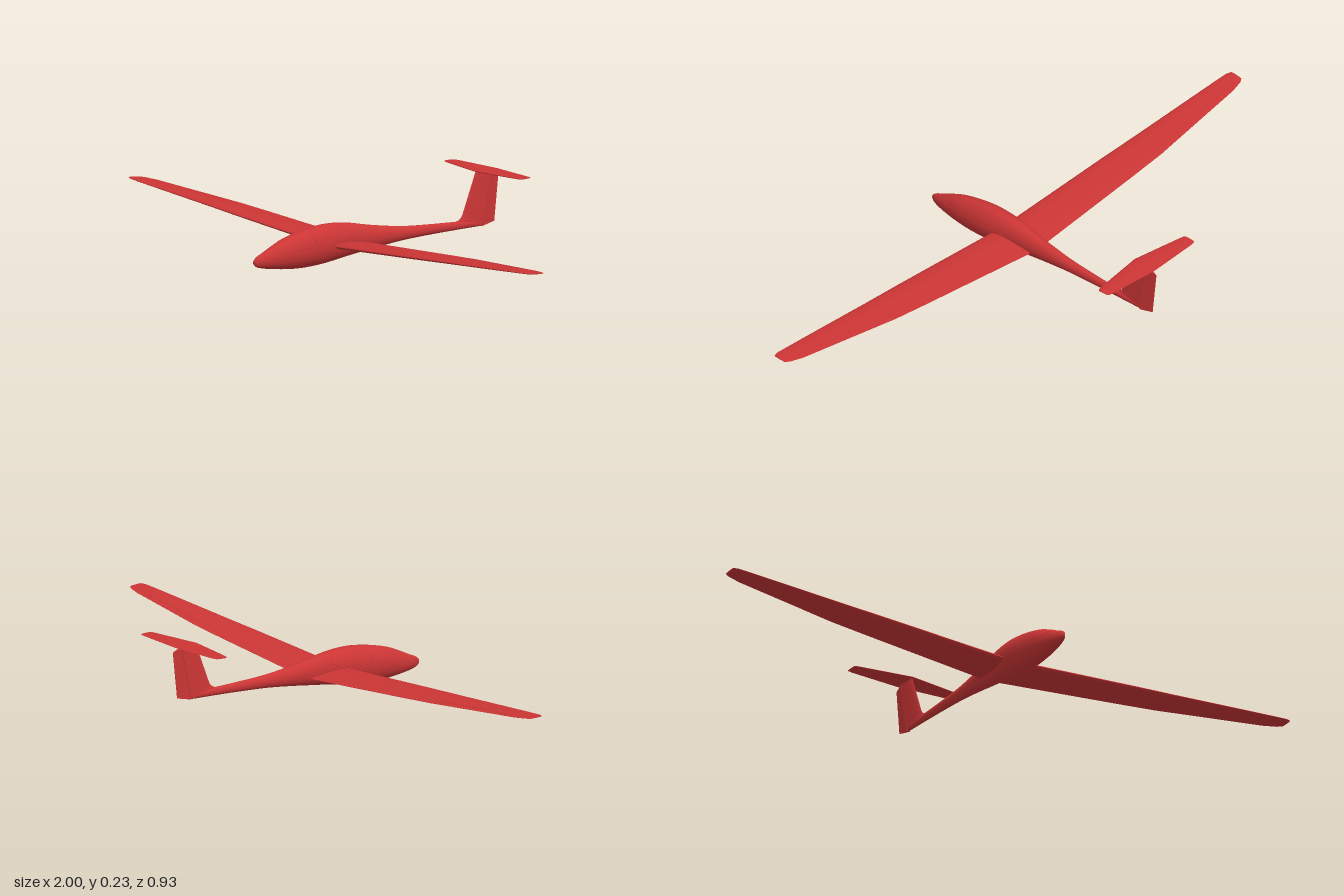
import * as THREE from 'three';
import { toCreasedNormals } from 'three/addons/utils/BufferGeometryUtils.js';

const red = new THREE.MeshStandardMaterial({ color: 0xcc3535 });
const V = (x, y, z) => new THREE.Vector3(x, y, z);
const lerp = THREE.MathUtils.lerp;

// Skin closed rings of points, cap both ends, and turn the faces outward.
function loft(name, rings, crease = 0.7) {
  const n = rings[0].length, pts = rings.flat(), idx = [];
  for (let r = 0; r < rings.length - 1; r++) {
    for (let i = 0; i < n; i++) {
      const a = r * n + i, b = r * n + (i + 1) % n;
      idx.push(a, b, a + n, b, b + n, a + n);
    }
  }
  [0, rings.length - 1].forEach((r, end) => {
    const c = pts.length;
    pts.push(rings[r].reduce((s, p) => s.add(p), V(0, 0, 0)).divideScalar(n));
    for (let i = 0; i < n; i++) {
      const a = r * n + i, b = r * n + (i + 1) % n;
      if (end) idx.push(c, a, b); else idx.push(c, b, a);
    }
  });
  let volume = 0;
  for (let i = 0; i < idx.length; i += 3) {
    const [a, b, c] = [pts[idx[i]], pts[idx[i + 1]], pts[idx[i + 2]]];
    volume += a.dot(V(0, 0, 0).crossVectors(b, c));
  }
  if (volume < 0) idx.reverse();
  let geo = new THREE.BufferGeometry().setFromPoints(pts);
  geo.setIndex(idx);
  // Crease at a larger scale so that nearby points stay distinct.
  geo.scale(100, 100, 100);
  geo = toCreasedNormals(geo, crease);
  geo.scale(0.01, 0.01, 0.01);
  const mesh = new THREE.Mesh(geo, red);
  mesh.name = name;
  return mesh;
}

// Thin raised seam through a list of points.
function seam(name, pts) {
  const path = new THREE.CurvePath();
  for (let i = 1; i < pts.length; i++) path.add(new THREE.LineCurve3(pts[i - 1], pts[i]));
  const mesh = new THREE.Mesh(new THREE.TubeGeometry(path, pts.length * 3, 0.0008, 5), red);
  mesh.name = name;
  return mesh;
}

// Fuselage stations: z, top, bottom, half width.
const body = [
  [0.465, 0.043, 0.030, 0.003], [0.455, 0.052, 0.022, 0.009], [0.43, 0.063, 0.015, 0.017],
  [0.40, 0.077, 0.010, 0.024], [0.35, 0.098, 0.004, 0.033], [0.30, 0.111, 0.001, 0.038],
  [0.25, 0.120, 0.002, 0.041], [0.20, 0.125, 0.006, 0.041], [0.15, 0.124, 0.013, 0.038],
  [0.10, 0.118, 0.020, 0.033], [0.05, 0.108, 0.026, 0.028], [0, 0.099, 0.032, 0.023],
  [-0.1, 0.085, 0.042, 0.016], [-0.2, 0.079, 0.047, 0.012], [-0.3, 0.075, 0.050, 0.009],
  [-0.397, 0.070, 0.052, 0.006],
];
// Smooth interpolation between stations.
function bodyAt(z) {
  const last = body.length - 1;
  let i = 0;
  while (i < last - 1 && z < body[i + 1][0]) i++;
  const h = body[i + 1][0] - body[i][0], t = (z - body[i][0]) / h;
  const slope = (k, c) => {
    const a = body[Math.max(k - 1, 0)], b = body[Math.min(k + 1, last)];
    return (b[c] - a[c]) / (b[0] - a[0]) * h;
  };
  return [1, 2, 3].map((c) => {
    const p = body[i][c], q = body[i + 1][c], d = q - p, m = slope(i, c), k = slope(i + 1, c);
    return p + t * (m + t * (3 * d - 2 * m - k + t * (m + k - 2 * d)));
  });
}
function bodyRing(z, n = 36) {
  const [top, bottom, w] = bodyAt(z);
  return Array.from({ length: n }, (_, i) => {
    const a = i / n * Math.PI * 2;
    return V(Math.sin(a) * w, (top + bottom) / 2 + Math.cos(a) * (top - bottom) / 2, z);
  });
}
// Point on the fuselage side at a height.
function onBody(z, y, side) {
  const [top, bottom, w] = bodyAt(z);
  const k = Math.min(1, Math.max(-1, (2 * y - top - bottom) / (top - bottom)));
  return V(side * w * Math.sqrt(1 - k * k), lerp(bottom, top, (k + 1) / 2), z);
}
// Seam over the fuselage, running down one side, along, and mirrored back.
function bodySeam(name, corners) {
  const half = (side) => {
    const out = [];
    for (let i = 1; i < corners.length; i++) {
      for (let j = 0; j < 8; j++) {
        const t = j / 8;
        out.push(onBody(lerp(corners[i - 1][0], corners[i][0], t), lerp(corners[i - 1][1], corners[i][1], t), side));
      }
    }
    const [z, y] = corners[corners.length - 1];
    out.push(onBody(z, y, side));
    return out;
  };
  const a = half(1), b = half(-1);
  return seam(name, [...a, ...b.reverse(), a[0]]);
}

// Profiles: [fraction of chord, half-thickness fraction], upper side then lower.
const foil = (f) => 5 * (0.2969 * Math.sqrt(f) - 0.126 * f - 0.3516 * f * f + 0.2843 * f ** 3 - 0.1016 * f ** 4);
const chordSteps = Array.from({ length: 13 }, (_, i) => (1 - Math.cos(i / 12 * Math.PI)) / 2);
const closed = (fn) => [
  ...chordSteps.slice().reverse().map((f) => [f, fn(f)]),
  ...chordSteps.slice(1).map((f) => [f, -fn(f)]),
];
const airfoil = closed((f) => foil(f) + 0.012 * f);
const finProfile = closed((f) => 0.5 * Math.sqrt(1 - (1 - f) ** 2));
const rudderProfile = [[0, 0.5], [1, 0.05], [1, -0.05], [0, -0.5]];

// Section from leading to trailing edge with thickness along a direction.
const section = (profile, le, te, thick, up) =>
  profile.map(([f, h]) => le.clone().lerp(te, f).addScaledVector(up, h * thick));
const UP = V(0, 1, 0), SIDE = V(1, 0, 0);

// Wing stations: x, leading z, trailing z, thickness.
const wing = [
  [0, 0.186, 0.035, 0.021], [0.45, 0.185, 0.058, 0.016], [0.58, 0.183, 0.066, 0.014],
  [0.80, 0.182, 0.093, 0.010], [0.94, 0.181, 0.110, 0.007], [0.985, 0.180, 0.122, 0.005],
  [1.0, 0.174, 0.132, 0.003],
];
const wingEdges = (x, le, te) => {
  const y = 0.057 + 0.06 * x;
  return [V(x, y, le), V(x, y - 0.006 * (1 - x * 0.6), te)];
};
function wingTop(x, f) {
  const i = wing.findIndex((s) => s[0] > x), a = wing[i - 1], b = wing[i];
  const [le, te, th] = [1, 2, 3].map((c) => lerp(a[c], b[c], (x - a[0]) / (b[0] - a[0])));
  const [p, q] = wingEdges(x, le, te);
  return p.lerp(q, f).addScaledVector(UP, (foil(f) + 0.012 * f) * th);
}
const mirror = (pts, s) => pts.map((p) => V(p.x * s, p.y, p.z));

export function createModel() {
  const model = new THREE.Group();
  model.name = 'glider';

  // Fuselage, with rings closer together at the nose
  const rings = Array.from({ length: 71 }, (_, i) => bodyRing(lerp(0.465, -0.397, (i / 70) ** 1.5)));
  model.add(loft('fuselage', rings));

  // Canopy and hatch outlines
  model.add(bodySeam('canopySeam', [[0.405, 0.2], [0.405, 0.070], [0.39, 0.057], [0.27, 0.067], [0.263, 0.075], [0.263, 0.2]]));
  model.add(bodySeam('hatchSeam', [[0.257, 0.2], [0.257, 0.085], [0.25, 0.068], [0.13, 0.078], [0.115, 0.09], [0.115, 0.2]]));

  // Wings with aileron seams
  for (const [s, label] of [[1, 'left'], [-1, 'right']]) {
    model.add(loft(label + 'Wing', wing.map(([x, le, te, th]) =>
      mirror(section(airfoil, ...wingEdges(x, le, te), th, UP), s))));
    const hinge = Array.from({ length: 9 }, (_, i) => wingTop(lerp(0.58, 0.92, i / 8), lerp(0.81, 0.76, i / 8)));
    model.add(seam(label + 'AileronSeam', mirror(hinge, s)));
  }

  // Fin, flaring forward into the fuselage: y, leading z, thickness
  const hingeZ = (y) => -0.397 - 0.218 * (y - 0.052);
  const fin = [
    [0.056, -0.29, 0.012], [0.074, -0.295, 0.012], [0.077, -0.309, 0.012], [0.083, -0.319, 0.012],
    [0.093, -0.326, 0.012], [0.222, -0.377, 0.010],
  ];
  model.add(loft('fin', fin.map(([y, le, th]) => section(finProfile, V(0, y, le), V(0, y, hingeZ(y)), th, SIDE))));

  // Rudder, with a narrow gap at the hinge
  model.add(loft('rudder', [
    section(rudderProfile, V(0, 0.052, hingeZ(0.052) - 0.001), V(0, 0.062, -0.447), 0.012, SIDE),
    section(rudderProfile, V(0, 0.217, hingeZ(0.217) - 0.001), V(0, 0.207, -0.463), 0.010, SIDE),
  ]));

  // Tailplane on top of the fin: x, leading z, trailing z, thickness
  const tail = [[0, -0.372, -0.457, 0.009], [0.17, -0.397, -0.446, 0.006], [0.185, -0.400, -0.443, 0.005], [0.19, -0.404, -0.440, 0.003]];
  const both = [...tail.slice(1).reverse().map(([x, ...r]) => [-x, ...r]), ...tail];
  model.add(loft('tailplane', both.map(([x, le, te, th]) =>
    section(airfoil, V(x, 0.222, le), V(x, 0.222, te), th, UP))));

  return model;
}
